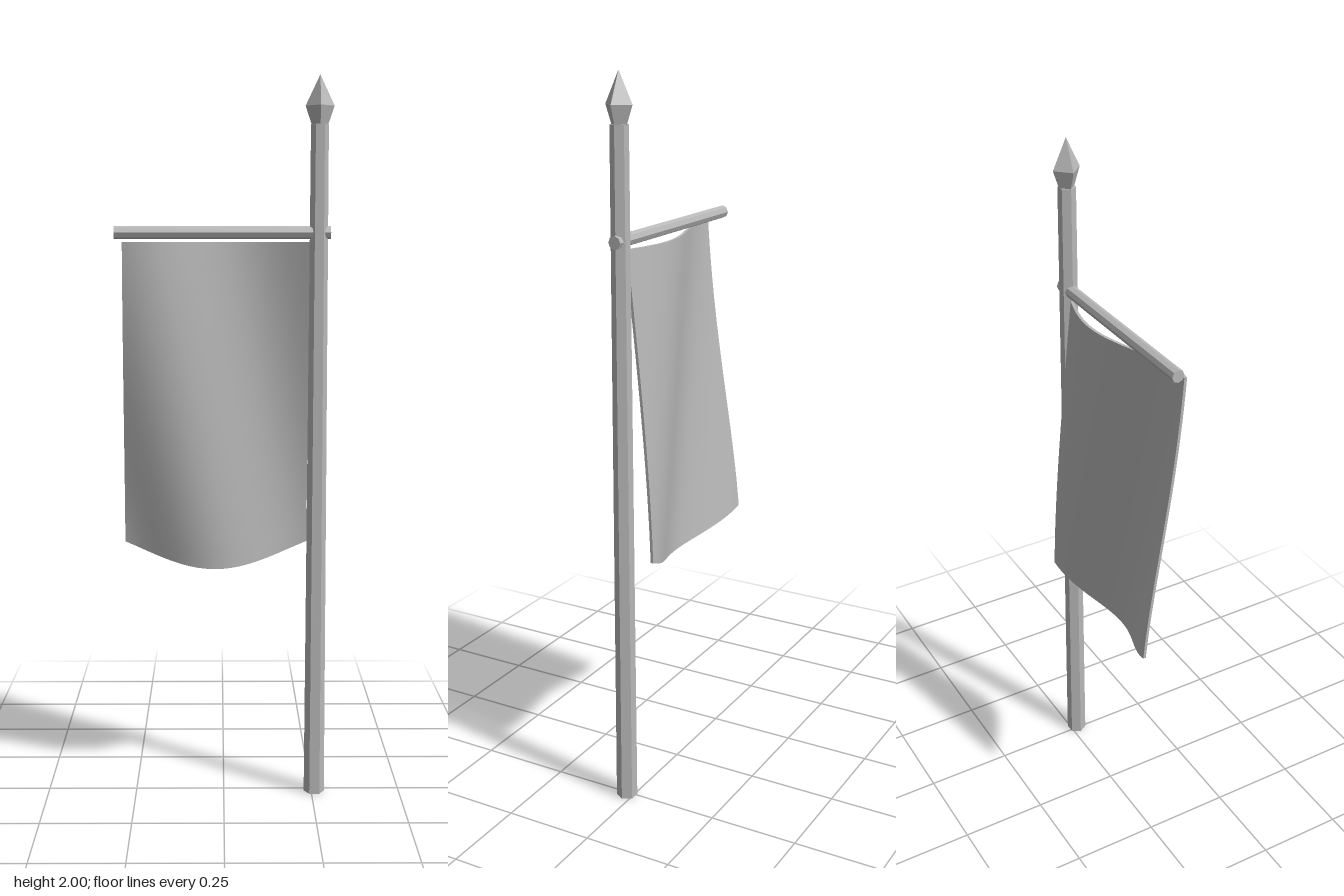
import * as THREE from 'three';

const POLE_X = 0.258, POLE_Z = 0.019;

export function createModel() {
  const group = new THREE.Group();
  const grey = new THREE.MeshStandardMaterial({ color: 0xb8b8b8 });
  grey.name = 'grey';

  const add = (name, geometry, x, y, z) => {
    const mesh = new THREE.Mesh(geometry, grey);
    mesh.name = name;
    mesh.position.set(x, y, z);
    group.add(mesh);
    return mesh;
  };

  // Flat-faced prism: unshared vertices give each side its own normal
  const prism = (rTop, rBottom, height, sides, start = 0) => {
    const g = new THREE.CylinderGeometry(rTop, rBottom, height, sides, 1, false, start).toNonIndexed();
    g.computeVertexNormals();
    return g;
  };

  // Tapered six-sided pole
  add('pole', prism(0.024, 0.029, 1.87, 6, Math.PI / 2), POLE_X, 0.935, POLE_Z);

  // Four-sided spear tip: short flare, then long point
  add('spearTipBase', prism(0.039, 0.022, 0.05, 4), POLE_X, 1.893, POLE_Z);
  add('spearTipPoint', prism(0.0001, 0.039, 0.082, 4), POLE_X, 1.959, POLE_Z);

  // Crossbar through the pole
  const bar = add('crossbar', prism(0.0175, 0.0175, 0.588, 8), -0.004, 1.582, 0.018);
  bar.rotation.z = Math.PI / 2;

  // Cloth: thin slab bent by a wave that drifts sideways as it falls, with a rounded hem
  const cloth = new THREE.BoxGeometry(1, 1, 0.008, 32, 28, 1);
  const p = cloth.attributes.position;
  for (let i = 0; i < p.count; i++) {
    const u = p.getX(i) + 0.5, t = 0.5 - p.getY(i);
    const x = THREE.MathUtils.lerp(-0.274 - 0.005 * t, 0.235, u);
    const drop = 0.842 + 0.065 * Math.sin(Math.PI * u);
    const crest = -0.25 + 0.22 * t, wavelength = 0.66 - 0.1 * t;
    const wave = 0.036 * Math.cos(2 * Math.PI * (x - crest) / wavelength);
    p.setXYZ(i, x, 1.557 - drop * t, p.getZ(i) + 0.02 - 0.038 * t + wave);
  }
  cloth.computeVertexNormals();
  add('cloth', cloth, 0, 0, 0);

  return group;
}
